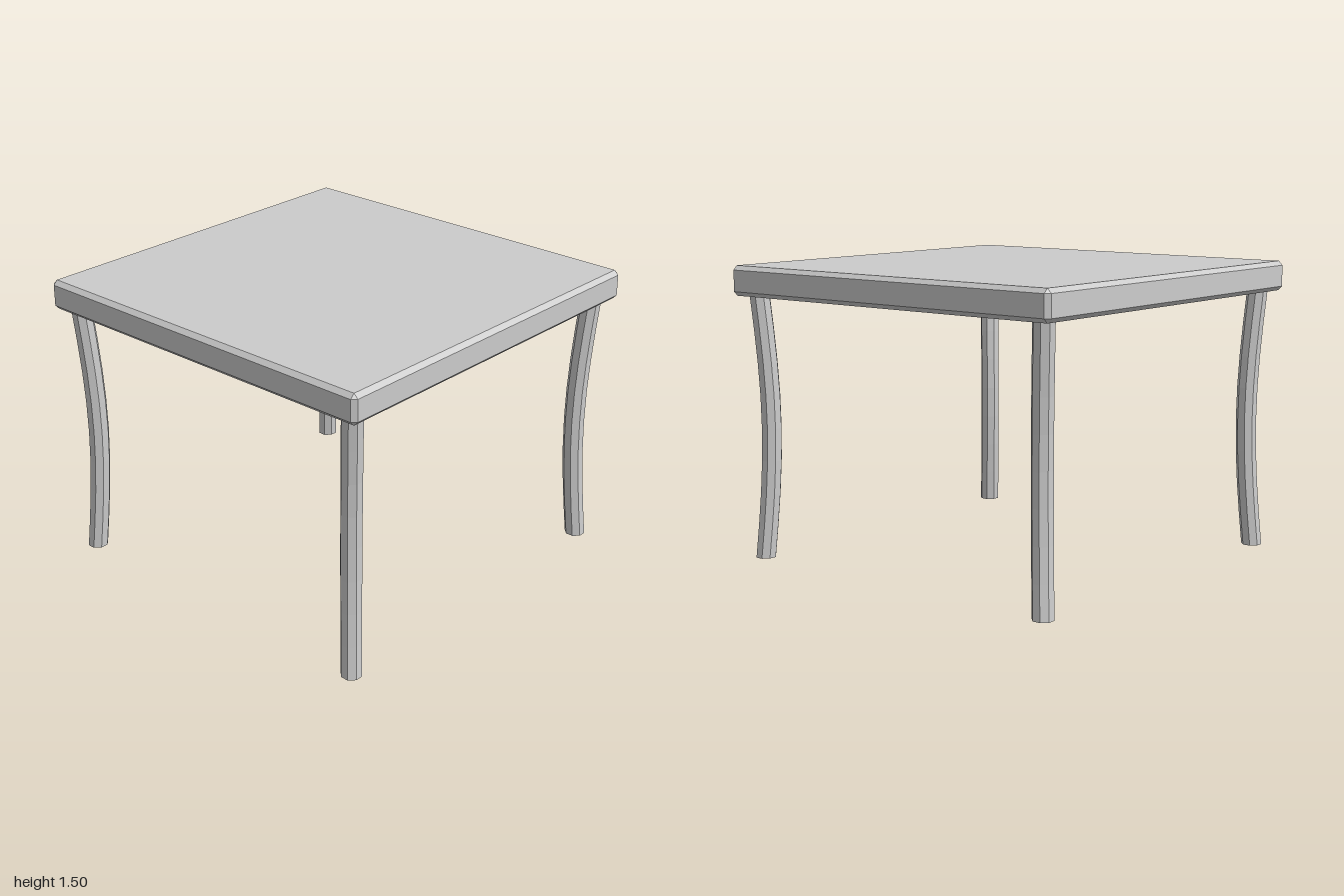
import * as THREE from 'three';
import { ConvexGeometry } from 'three/addons/geometries/ConvexGeometry.js';

const material = new THREE.MeshStandardMaterial({ color: 0xcccccc, flatShading: true });

// Box with one flat bevel along every edge, given half sizes
function bevelledBox(hx, hy, hz, b) {
  const points = [];
  for (const x of [-1, 1]) for (const y of [-1, 1]) for (const z of [-1, 1]) {
    points.push(
      new THREE.Vector3(x * hx, y * (hy - b), z * (hz - b)),
      new THREE.Vector3(x * (hx - b), y * hy, z * (hz - b)),
      new THREE.Vector3(x * (hx - b), y * (hy - b), z * hz)
    );
  }
  return new ConvexGeometry(points);
}

// Eight-sided leg that bows towards the middle of the table
function bowedLeg(sx, sz) {
  const height = 1.345, inset = 0.9, bow = 0.031;
  const geometry = new THREE.CylinderGeometry(0.053, 0.053, height, 8, 8);
  geometry.rotateY(Math.PI / 8).translate(0, height / 2, 0);
  const p = geometry.attributes.position;
  for (let i = 0; i < p.count; i++) {
    const centre = inset - bow * Math.sin(Math.PI * p.getY(i) / height);
    p.setX(i, p.getX(i) + sx * centre);
    p.setZ(i, p.getZ(i) + sz * centre);
  }
  geometry.computeVertexNormals();
  return geometry;
}

export function createModel() {
  const table = new THREE.Group();
  table.name = 'table';

  // Thick square top
  const top = new THREE.Mesh(bevelledBox(1, 0.076, 1, 0.022), material);
  top.name = 'tableTop';
  top.position.y = 1.42;
  table.add(top);

  // Four corner legs
  for (const [name, sx, sz] of [
    ['frontLeftLeg', 1, 1], ['frontRightLeg', -1, 1],
    ['backLeftLeg', 1, -1], ['backRightLeg', -1, -1],
  ]) {
    const leg = new THREE.Mesh(bowedLeg(sx, sz), material);
    leg.name = name;
    table.add(leg);
  }
  return table;
}
